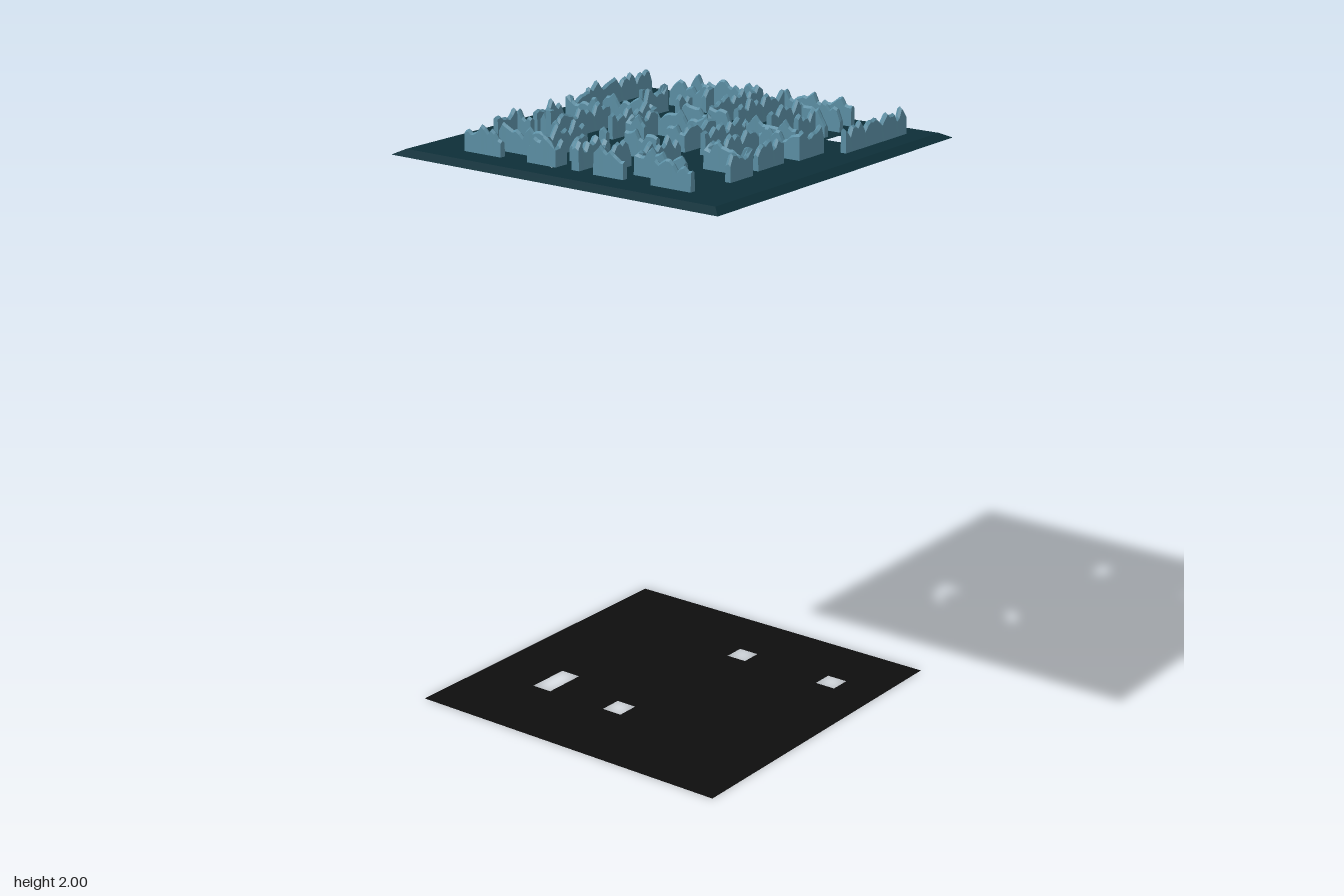
import * as THREE from 'three';

const FLOOR_Y = 1.9;

// Wall centre lines as [x, z, x, z, ...]
const WALLS = [
  [0.18, -0.517, 0.53, -0.517],
  [0.18, 0.522, 0.53, 0.522],
  [-0.507, -0.44, -0.507, -0.29],
  [-0.35, -0.455, -0.245, -0.455, -0.245, -0.39],
  [-0.18, -0.435, -0.045, -0.435],
  [0.115, -0.385, 0.115, -0.18, -0.11, -0.18],
  [-0.435, -0.36, -0.435, -0.18, -0.235, -0.18],
  [0.225, -0.3, 0.33, -0.3, 0.33, -0.345],
  [0.425, -0.345, 0.425, -0.18, 0.39, -0.18],
  [0.245, -0.18, 0.315, -0.18],
  [0.52, -0.325, 0.52, -0.045, 0.25, -0.045],
  [-0.42, -0.083, -0.355, -0.083],
  [-0.355, 0.09, -0.507, 0.09, -0.507, 0.195],
  [-0.435, 0.37, -0.435, 0.19, -0.235, 0.19],
  [-0.11, 0.19, 0.115, 0.19, 0.115, 0.39],
  [-0.35, 0.463, -0.245, 0.463, -0.245, 0.31, 0.02, 0.31, 0.02, 0.463, 0.145, 0.463],
  [-0.18, 0.443, -0.045, 0.443],
  [-0.507, 0.3, -0.507, 0.45],
  [0.225, 0.31, 0.33, 0.31, 0.33, 0.355],
  [0.245, 0.19, 0.425, 0.19, 0.425, 0.35],
  [0.16, -0.09, 0.16, 0.1],
  [-0.245, -0.11, -0.245, -0.082],
  [-0.105, -0.04, -0.105, -0.105, 0.04, -0.105, 0.04, 0.113, -0.105, 0.113, -0.105, 0.05],
];
// Walls that run over an opening in the floor
const BRIDGING_WALLS = [
  [0.145, -0.455, 0.02, -0.455, 0.02, -0.3, -0.235, -0.3],
  [-0.245, -0.35, -0.245, -0.28],
  [0.25, 0.055, 0.52, 0.055, 0.52, 0.33],
  [-0.505, -0.185, -0.505, -0.08, -0.46, -0.08],
  [-0.245, -0.008, -0.245, 0.118],
];
// Openings in the upper floor
const FLOOR_OPENINGS = [
  [-0.305, -0.305, -0.225, -0.38, -0.15, -0.38, -0.15, -0.305],
  [-0.305, 0, -0.225, -0.075, -0.225, 0],
  [0.3, 0, 0.375, 0, 0.375, 0.075, 0.3, 0.075],
  [0.3, 0.375, 0.375, 0.375, 0.375, 0.45, 0.3, 0.45],
  [-0.525, -0.08, -0.455, -0.15, -0.455, -0.08],
];
// Openings in the base: [x0, z0, x1, z1]
const BASE_OPENINGS = [
  [-0.305, -0.38, -0.15, -0.305],
  [-0.305, -0.075, -0.225, 0],
  [0.3, 0, 0.375, 0.075],
  [0.3, 0.375, 0.375, 0.45],
];

const pairs = (a) => Array.from({ length: a.length / 2 }, (_, i) => new THREE.Vector2(a[2 * i], a[2 * i + 1]));

// Evenly sampled path points with a mitred sideways vector
function samplePath(flat) {
  const pts = pairs(flat);
  const sides = pts.slice(1).map((p, i) => {
    const d = p.clone().sub(pts[i]).normalize();
    return new THREE.Vector2(d.y, -d.x);
  });
  const out = [];
  pts.forEach((p, i) => {
    const a = sides[Math.max(i - 1, 0)], b = sides[Math.min(i, sides.length - 1)];
    const miter = a.clone().add(b).divideScalar(1 + a.dot(b));
    out.push({ p, side: miter });
    if (i === pts.length - 1) return;
    const n = Math.max(2, Math.round(p.distanceTo(pts[i + 1]) / 0.014));
    for (let k = 1; k < n; k++) out.push({ p: p.clone().lerp(pts[i + 1], k / n), side: sides[i] });
  });
  return out;
}

// Jagged top height
function wallHeight(x, z, end) {
  const wave = 0.011 * Math.sin(71 * x + 53 * z) + 0.009 * Math.sin(137 * x - 119 * z + 1.3)
    + 0.005 * Math.sin(290 * (x + z));
  return Math.min(0.1, 0.075 + wave - (end ? 0.012 : 0));
}

// Hollow wall with an open bottom and a ridged top
function wallGeometry(path, w) {
  const rings = path.map(({ p, side }, i) => {
    const h = wallHeight(p.x, p.y, i === 0 || i === path.length - 1);
    return [[w, 0], [w * 0.85, h - 0.007], [0, h], [-w * 0.85, h - 0.007], [-w, 0]]
      .map(([s, y]) => [p.x + side.x * s, FLOOR_Y + y, p.y + side.y * s]);
  });
  const v = [];
  const tri = (...c) => c.forEach((q) => v.push(...q));
  for (let i = 0; i < rings.length - 1; i++) {
    for (let k = 0; k < 4; k++) {
      const a = rings[i][k], b = rings[i][k + 1], c = rings[i + 1][k + 1], d = rings[i + 1][k];
      tri(a, b, c);
      tri(a, c, d);
    }
  }
  const s = rings[0], e = rings[rings.length - 1];
  for (let k = 1; k < 4; k++) {
    tri(s[0], s[k + 1], s[k]);
    tri(e[0], e[k], e[k + 1]);
  }
  const g = new THREE.BufferGeometry();
  g.setAttribute('position', new THREE.Float32BufferAttribute(v, 3));
  g.computeVertexNormals();
  return g;
}

// Flat horizontal square with openings
function plateGeometry(half, openings) {
  const flip = (pts) => pts.map((p) => new THREE.Vector2(p.x, -p.y));
  const shape = new THREE.Shape(pairs([-half, -half, half, -half, half, half, -half, half]));
  shape.holes = openings.map((pts) => new THREE.Path(flip(pts)));
  return new THREE.ShapeGeometry(shape).rotateX(-Math.PI / 2);
}

export function createModel() {
  const group = new THREE.Group();
  const material = (name, color) => new THREE.MeshStandardMaterial({ name, color, side: THREE.DoubleSide });
  const wallBlue = material('wall blue', 0x5b8ea3);
  const floorTeal = material('dark teal', 0x0d2f38);
  const baseBlack = material('base black', 0x0d0d0d);
  const add = (name, geometry, mat) => {
    const mesh = new THREE.Mesh(geometry, mat);
    mesh.name = name;
    group.add(mesh);
    return mesh;
  };

  // Maze walls, with their footprints left open in the floor
  const footprints = [];
  const addWall = (flat, w, cutFloor) => {
    const path = samplePath(flat);
    add('mazeWall', wallGeometry(path, w), wallBlue);
    if (!cutFloor) return;
    const edge = (s) => path.map(({ p, side }) => p.clone().addScaledVector(side, s));
    footprints.push([...edge(w), ...edge(-w).reverse()]);
  };
  WALLS.forEach((f) => addWall(f, 0.0105, true));
  BRIDGING_WALLS.forEach((f) => addWall(f, 0.0105, false));
  addWall([-0.51, 0.004, -0.355, 0.004], 0.015, true);

  // Small posts
  for (const [x, z, size, h] of [[-0.02, 0.005, 0.018, 0.05], [0.33, -0.395, 0.014, 0.06], [-0.245, -0.315, 0.02, 0.1]]) {
    add('post', new THREE.BoxGeometry(size, h, size), wallBlue).position.set(x, FLOOR_Y + h / 2, z);
  }

  // Bent wall fragment beside the left opening
  const shard = new THREE.BufferGeometry();
  shard.setAttribute('position', new THREE.Float32BufferAttribute(
    [-0.5, 1.9, -0.08, -0.458, 1.9, -0.08, -0.458, 1.93, -0.13], 3));
  shard.computeVertexNormals();
  add('wallFragment', shard, wallBlue);

  // Upper floor with a sloping rim
  const floor = plateGeometry(0.606, [...footprints, ...FLOOR_OPENINGS.map(pairs)]);
  add('upperFloor', floor.translate(0, FLOOR_Y, 0), floorTeal);
  const rim = new THREE.CylinderGeometry(0.606 * Math.SQRT2, 0.64 * Math.SQRT2, 0.017, 4, 1, true)
    .rotateY(Math.PI / 4).toNonIndexed();
  rim.computeVertexNormals();
  add('floorRim', rim.translate(0, FLOOR_Y - 0.0085, 0), floorTeal);

  // Base sheet far below
  const holes = BASE_OPENINGS.map(([a, b, c, d]) => pairs([a, b, c, b, c, d, a, d]));
  add('baseSheet', plateGeometry(0.606, holes), baseBlack);

  return group;
}
